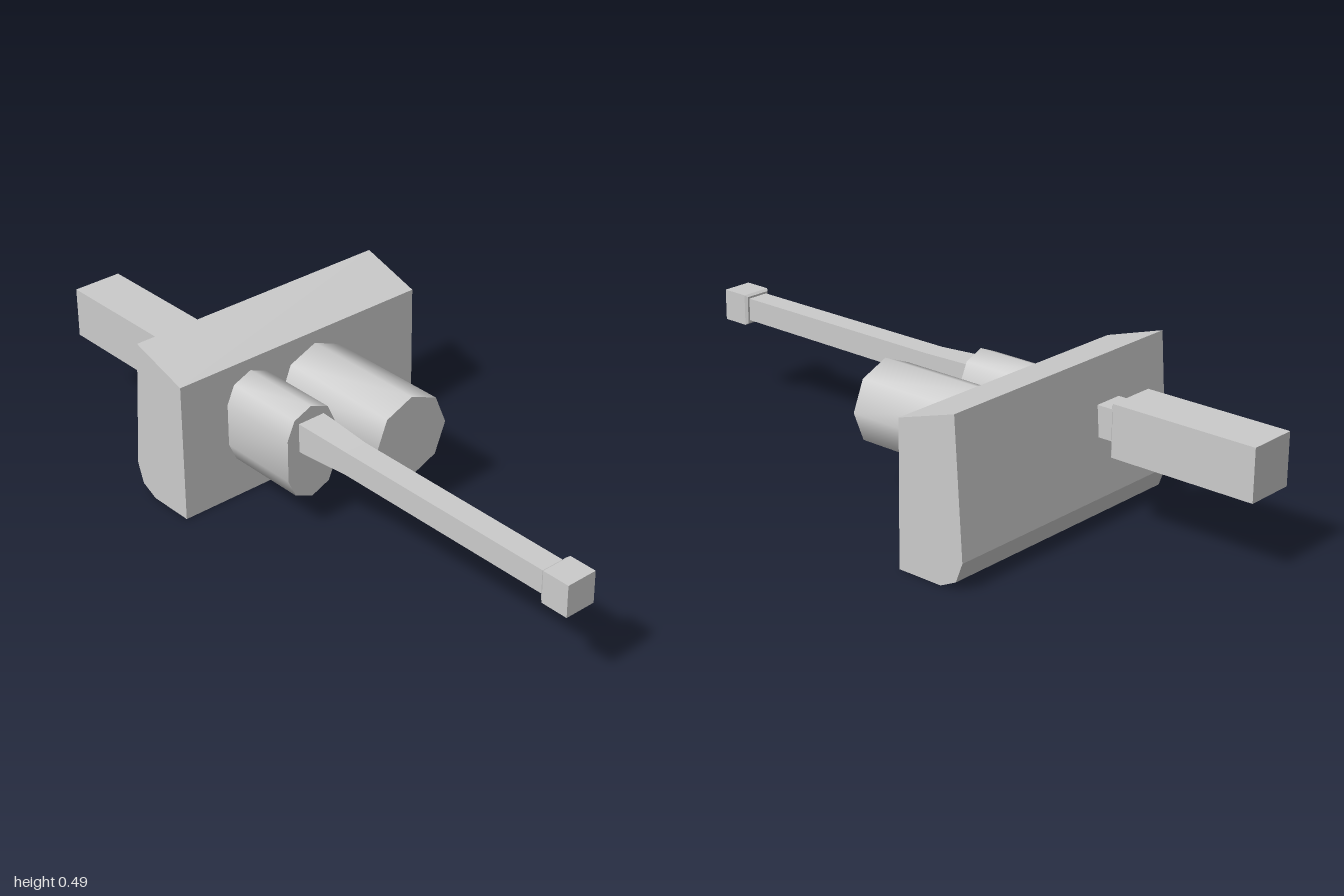
import * as THREE from 'three';
import { toCreasedNormals } from 'three/addons/utils/BufferGeometryUtils.js';

const flat = new THREE.MeshStandardMaterial({ color: 0xcccccc, flatShading: true });
const smooth = new THREE.MeshStandardMaterial({ color: 0xcccccc });

function extrude(points, depth) {
  const shape = new THREE.Shape(points.map(([x, y]) => new THREE.Vector2(x, y)));
  return new THREE.ExtrudeGeometry(shape, { depth, bevelEnabled: false });
}

// Square bar along x from [x, half width] stations, closed at both ends
function squareBar(stations) {
  const profile = stations.map(([x, half]) => new THREE.Vector2(half * Math.SQRT2, x));
  profile.unshift(new THREE.Vector2(0, stations[0][0]));
  profile.push(new THREE.Vector2(0, stations[stations.length - 1][0]));
  return new THREE.LatheGeometry(profile, 4, Math.PI / 4).rotateZ(-Math.PI / 2);
}

// Round-shaded prism along x from [z, y] outline points
function prismX(outline, x0, x1) {
  const geometry = extrude(outline.map(([z, y]) => [-z, y]), x1 - x0);
  return toCreasedNormals(geometry.rotateY(Math.PI / 2).translate(x0, 0, 0), 1);
}

export function createModel() {
  const model = new THREE.Group();
  const add = (name, geometry, material, x = 0, y = 0, z = 0) => {
    const mesh = new THREE.Mesh(geometry, material);
    mesh.name = name;
    mesh.position.set(x, y, z);
    model.add(mesh);
  };

  // Wide mounting block with sloped top and chamfered lower rear edge
  const block = [[-0.27, 0], [-0.27, 0.427], [-0.46, 0.486], [-0.49, 0.085], [-0.468, 0.026], [-0.415, 0]];
  add('mantlet', extrude(block, 0.86), flat, 0, 0, -0.43);

  // Octagonal drum beside the barrel
  const octagon = [];
  for (let i = 0; i < 8; i++) {
    const a = (i * Math.PI) / 4;
    octagon.push([-0.052 + 0.129 * Math.sin(a), 0.26 + 0.129 * Math.cos(a)]);
  }
  add('drum', prismX(octagon, -0.28, 0.136), smooth);

  // Tall rounded sleeve the barrel leaves from
  const sleeve = [[0, 0.39], [0.06, 0.365], [0.085, 0.31], [0.085, 0.18], [0.06, 0.125],
    [0, 0.1], [-0.06, 0.125], [-0.085, 0.18], [-0.085, 0.31], [-0.06, 0.365]];
  add('barrelSleeve', prismX(sleeve.map(([z, y]) => [z + 0.185, y]), -0.28, -0.01), smooth);

  // Long tapering barrel with a square muzzle
  add('barrel', squareBar([[-0.03, 0.045], [0.03, 0.043], [0.17, 0.036], [0.92, 0.035]]), flat, 0, 0.305, 0.185);
  add('muzzle', squareBar([[0.907, 0.042], [0.915, 0.048], [1, 0.048]]), flat, 0, 0.304, 0.185);

  // Square breech behind the block, with a stepped neck
  add('breech', squareBar([[-1, 0.077], [-0.545, 0.077], [-0.52, 0.046], [-0.45, 0.046]]), flat, 0, 0.306, 0.182);
  return model;
}
